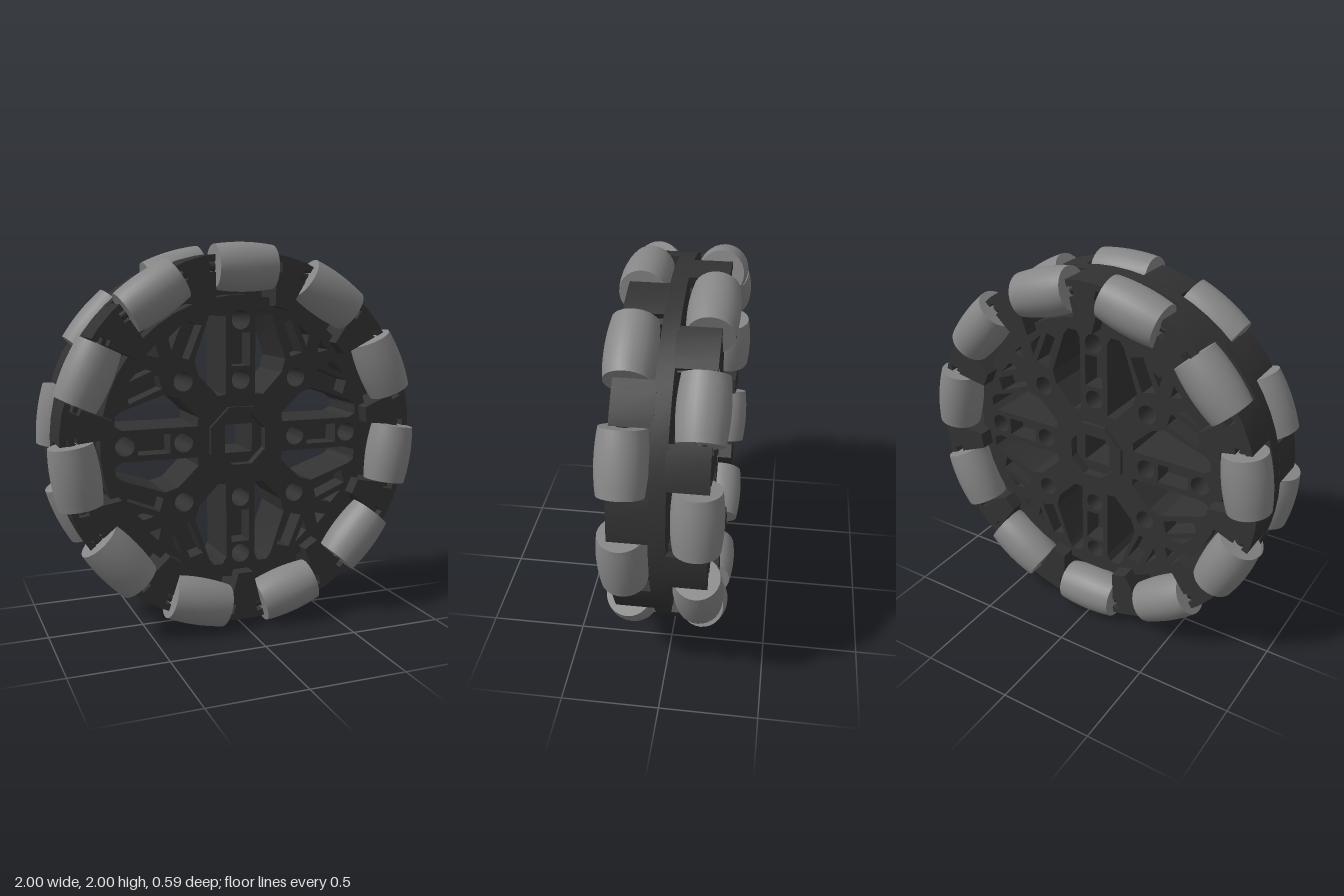
import * as THREE from 'three';
import { toCreasedNormals } from 'three/addons/utils/BufferGeometryUtils.js';

const COUNT = 11;                       // rollers per row
const STEP = (Math.PI * 2) / COUNT;
const AXLE_R = 0.877, ROW_Z = 0.173, ROLLER_HALF = 0.155;

const frameMat = new THREE.MeshStandardMaterial({ color: 0x323232 });
const rollerMat = new THREE.MeshStandardMaterial({ color: 0x868686 });

const poly = (pts, Type = THREE.Path) => new Type(pts.map(([x, y]) => new THREE.Vector2(x, y)));

function circle(r, cx = 0, cy = 0, sides = 16, Type = THREE.Path) {
  const pts = [];
  for (let i = 0; i < sides; i++) {
    const a = ((i + 0.5) / sides) * Math.PI * 2;
    pts.push([cx + r * Math.cos(a), cy + r * Math.sin(a)]);
  }
  return poly(pts, Type);
}

// Outline pulled from z0 to z1
function plate(name, outline, holes, z0, z1) {
  outline.holes = holes;
  const geo = new THREE.ExtrudeGeometry(outline, { depth: z1 - z0, bevelEnabled: false });
  geo.translate(0, 0, z0);
  const mesh = new THREE.Mesh(toCreasedNormals(geo, 0.4), frameMat);
  mesh.name = name;
  return mesh;
}

// One outline repeated in four quadrants, optionally mirrored over the diagonal
function quadrants(pts, mirror) {
  const out = [];
  for (let q = 0; q < 4; q++) {
    const c = Math.round(Math.cos(q * Math.PI / 2)), s = Math.round(Math.sin(q * Math.PI / 2));
    const turn = ([x, y]) => [x * c - y * s, x * s + y * c];
    out.push(poly(pts.map(turn)));
    if (mirror) out.push(poly(pts.map(([x, y]) => turn([y, x]))));
  }
  return out;
}

function spokeHoles() {
  const holes = [
    ...quadrants([[0.08, 0.235], [0.08, 0.63], [0.1, 0.665], [0.15, 0.665], [0.175, 0.63],
      [0.25, 0.41], [0.23, 0.34], [0.125, 0.23]], true),
    ...quadrants([[0.435, 0.435], [0.5, 0.45], [0.45, 0.5]], false),
  ];
  for (let i = 0; i < 4; i++) {
    const a = (i * Math.PI) / 2, c = Math.cos(a), s = Math.sin(a);
    holes.push(circle(0.05, 0.31 * c, 0.31 * s), circle(0.05, 0.615 * c, 0.615 * s));
    holes.push(circle(0.05, 0.31 * (c - s), 0.31 * (c + s)));
  }
  return holes;
}

// Barrel whose curve follows the wheel's rim
function rollerGeometry() {
  const pts = [new THREE.Vector2(0.03, -ROLLER_HALF)];
  for (let i = 0; i <= 8; i++) {
    const t = ROLLER_HALF * (i / 4 - 1);
    pts.push(new THREE.Vector2(Math.sqrt(1 - t * t) - AXLE_R, t));
  }
  pts.push(new THREE.Vector2(0.03, ROLLER_HALF));
  const geo = new THREE.LatheGeometry(pts, 28);
  geo.rotateZ(Math.PI / 2);
  return toCreasedNormals(geo, 0.6);
}

// Wedge between two neighbouring rollers, pointing up, with a slot for each axle end
function blockOutline() {
  const half = STEP / 2;
  const w = (r) => (r * Math.sin(half) - ROLLER_HALF - 0.008) / Math.cos(half);
  const right = [[w(0.72), 0.7], [w(0.862), 0.862], [w(0.862) - 0.03, 0.87],
    [w(0.912) - 0.03, 0.92], [w(0.912), 0.912], [w(0.94), 0.945], [w(0.94) / 2, 0.953]];
  const left = right.map(([x, y]) => [-x, y]).reverse();
  return poly([...right, ...left], THREE.Shape);
}

export function createModel() {
  const model = new THREE.Group();
  const wheel = new THREE.Group();
  wheel.name = 'wheel';
  wheel.position.y = 1;
  model.add(wheel);

  // Rim: central flange and inner wall
  wheel.add(plate('rimFlange', circle(0.953, 0, 0, 66, THREE.Shape), [circle(0.7, 0, 0, 44)], -0.04, 0.04));
  wheel.add(plate('rimWall', circle(0.74, 0, 0, 44, THREE.Shape), [circle(0.68, 0, 0, 44)], -0.15, 0.15));

  // Spokes: thin web, with deep ribs around the recesses
  const square = () => poly([[-0.075, -0.075], [0.075, -0.075], [0.075, 0.075], [-0.075, 0.075]]);
  wheel.add(plate('spokeWeb', circle(0.7, 0, 0, 44, THREE.Shape), [...spokeHoles(), square()], -0.04, 0.04));
  const recesses = [
    ...quadrants([[-0.05, 0.38], [0.05, 0.38], [0.05, 0.55], [-0.05, 0.55]], false),
    ...quadrants([[0.28, 0.42], [0.35, 0.44], [0.28, 0.61], [0.21, 0.59]], true),
    ...quadrants([[0.37, 0.47], [0.385, 0.53], [0.32, 0.59]], true),
  ];
  wheel.add(plate('spokeRibs', circle(0.7, 0, 0, 44, THREE.Shape),
    [...spokeHoles(), ...recesses, circle(0.14, 0, 0, 8)], -0.15, 0.15));

  // Hub
  wheel.add(plate('hubCollar', circle(0.185, 0, 0, 8, THREE.Shape), [circle(0.14, 0, 0, 8)], -0.17, 0.17));
  wheel.add(plate('hubCore', circle(0.142, 0, 0, 8, THREE.Shape), [square()], -0.12, 0.12));

  // Two rows of rollers, the back row turned by half a step
  const rollerGeo = rollerGeometry();
  const axleGeo = new THREE.CylinderGeometry(0.024, 0.024, 0.38, 12).rotateZ(Math.PI / 2);
  for (const side of [1, -1]) {
    const row = new THREE.Group();
    row.name = side > 0 ? 'frontRow' : 'backRow';
    wheel.add(row);
    for (let i = 0; i < COUNT; i++) {
      const unit = new THREE.Group();
      unit.name = 'rollerUnit';
      unit.rotation.z = -(i + (side > 0 ? 0 : 0.5)) * STEP;
      const roller = new THREE.Mesh(rollerGeo, rollerMat);
      roller.name = 'roller';
      const axle = new THREE.Mesh(axleGeo, frameMat);
      axle.name = 'axle';
      for (const part of [roller, axle]) part.position.set(0, AXLE_R, side * ROW_Z);
      unit.add(roller, axle);
      // Bearing block beside the roller
      const z = [0.03, 0.228].map((v) => v * side).sort((a, b) => a - b);
      const block = plate('bearingBlock', blockOutline(), [], z[0], z[1]);
      block.rotation.z = -STEP / 2;
      unit.add(block);
      row.add(unit);
    }
  }
  return model;
}
